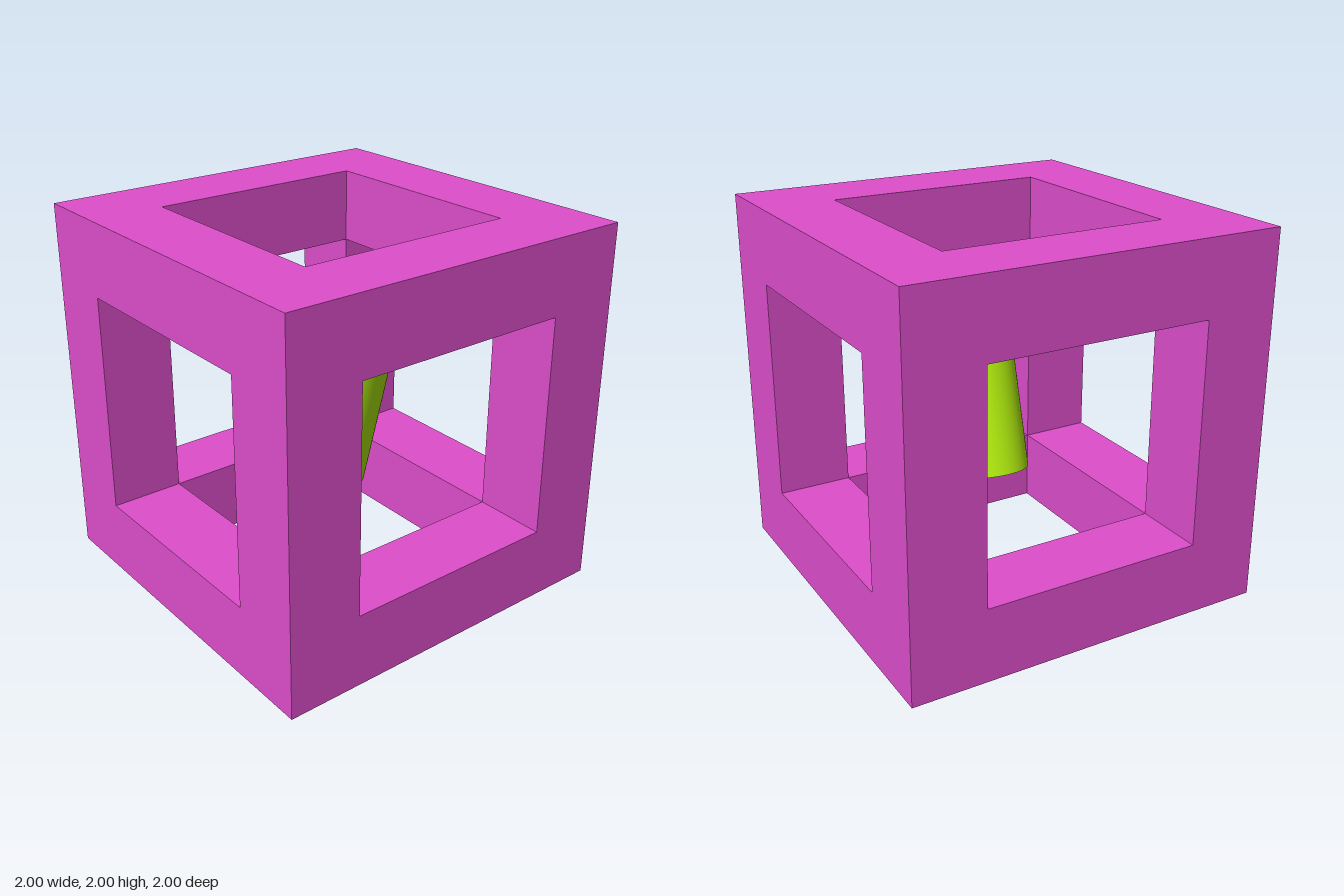
import * as THREE from 'three';
import { mergeGeometries } from 'three/addons/utils/BufferGeometryUtils.js';

const HALF = 1;        // half the cube's side
const OPENING = 0.6;   // half the side of each window
const RADIUS = 0.2;    // pill radius
const LENGTH = 0.764;  // straight part of the pill
const TILT = Math.PI / 12;

function square(path, h) {
  path.moveTo(-h, -h);
  path.lineTo(h, -h);
  path.lineTo(h, h);
  path.lineTo(-h, h);
  path.closePath();
  return path;
}

// One side of the cube facing +z: a square plate with a window and its four reveals
function frameSide() {
  const plate = square(new THREE.Shape(), HALF);
  plate.holes.push(square(new THREE.Path(), OPENING));
  const parts = [new THREE.ShapeGeometry(plate).translate(0, 0, HALF)];
  const depth = HALF - OPENING;
  for (let i = 0; i < 4; i++) {
    parts.push(new THREE.PlaneGeometry(2 * OPENING, depth)
      .rotateX(-Math.PI / 2)
      .translate(0, -OPENING, OPENING + depth / 2)
      .rotateZ(i * Math.PI / 2));
  }
  return mergeGeometries(parts);
}

// Hollow cube: the same side turned to all six directions
function frameGeometry() {
  const sides = [];
  for (let i = 0; i < 4; i++) sides.push(frameSide().rotateY(i * Math.PI / 2));
  for (const s of [-1, 1]) sides.push(frameSide().rotateX(s * Math.PI / 2));
  return mergeGeometries(sides);
}

// Pill with a flat base at the origin and a domed top
function pillGeometry() {
  return mergeGeometries([
    new THREE.CylinderGeometry(RADIUS, RADIUS, LENGTH, 64, 1, true).translate(0, LENGTH / 2, 0),
    new THREE.CircleGeometry(RADIUS, 64).rotateX(Math.PI / 2),
    new THREE.SphereGeometry(RADIUS, 64, 24, 0, Math.PI * 2, 0, Math.PI / 2).translate(0, LENGTH, 0),
  ]);
}

export function createModel() {
  const model = new THREE.Group();
  model.name = 'pillInCubeFrame';

  const frame = new THREE.Mesh(frameGeometry(), new THREE.MeshStandardMaterial({ color: 0xdd4ecb }));
  frame.name = 'cubeFrame';
  frame.position.y = HALF;

  // Pill leaning forward in the middle of the frame
  const pill = new THREE.Mesh(pillGeometry(), new THREE.MeshStandardMaterial({ color: 0xb4f00f }));
  pill.name = 'pill';
  pill.position.y = 0.556;
  pill.rotation.x = TILT;

  model.add(frame, pill);
  return model;
}
